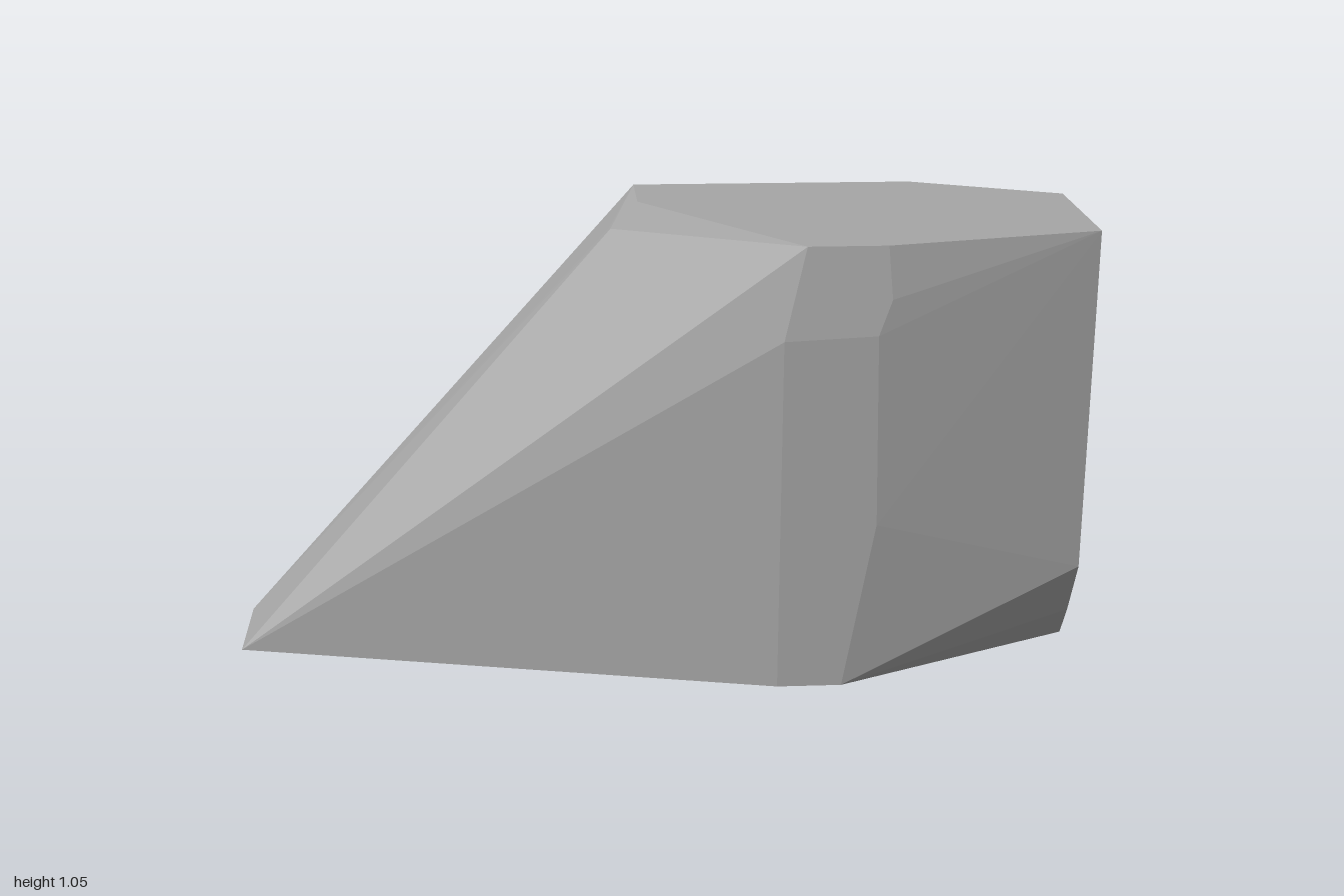
import * as THREE from 'three';
import { ConvexGeometry } from 'three/addons/geometries/ConvexGeometry.js';

export function createModel() {
  const group = new THREE.Group();
  group.name = 'rock';
  const stone = new THREE.MeshStandardMaterial({ color: 0xa6a6a6 });
  stone.name = 'grey stone';

  // Outline on the ground, as [x, z]
  const base = [
    [-1, 0.16], [-1, 0.4], [0.27, 0.67], [0.42, 0.67],
    [1, 0.41], [1, -0.22], [0.65, -0.67], [-0.03, -0.67],
  ];
  // Outline of the flat top, as [x, z]
  const top = [
    [-0.03, 0.02], [0.65, 0.025], [1, 0.175], [1, 0.54],
    [0.5, 0.645], [0.32, 0.645], [-0.03, 0.2],
  ];
  // Chipped corners between base and top
  const chips = [
    [-0.1, 1.02, 0.34], [-0.1, 1.015, 0.3],
    [0.27, 0.84, 0.67], [0.48, 0.85, 0.67], [0.49, 0.4, 0.67],
    [0.51, 0.93, 0.66],
    [1, 0.23, 0.54], [1, 0.085, 0.465],
  ];

  const points = [
    ...base.map(([x, z]) => new THREE.Vector3(x, 0, z)),
    ...top.map(([x, z]) => new THREE.Vector3(x, 1.05, z)),
    ...chips.map((p) => new THREE.Vector3(...p)),
  ];

  // Faceted boulder: the convex solid through all corners
  const boulder = new THREE.Mesh(new ConvexGeometry(points), stone);
  boulder.name = 'boulder';
  group.add(boulder);
  return group;
}
